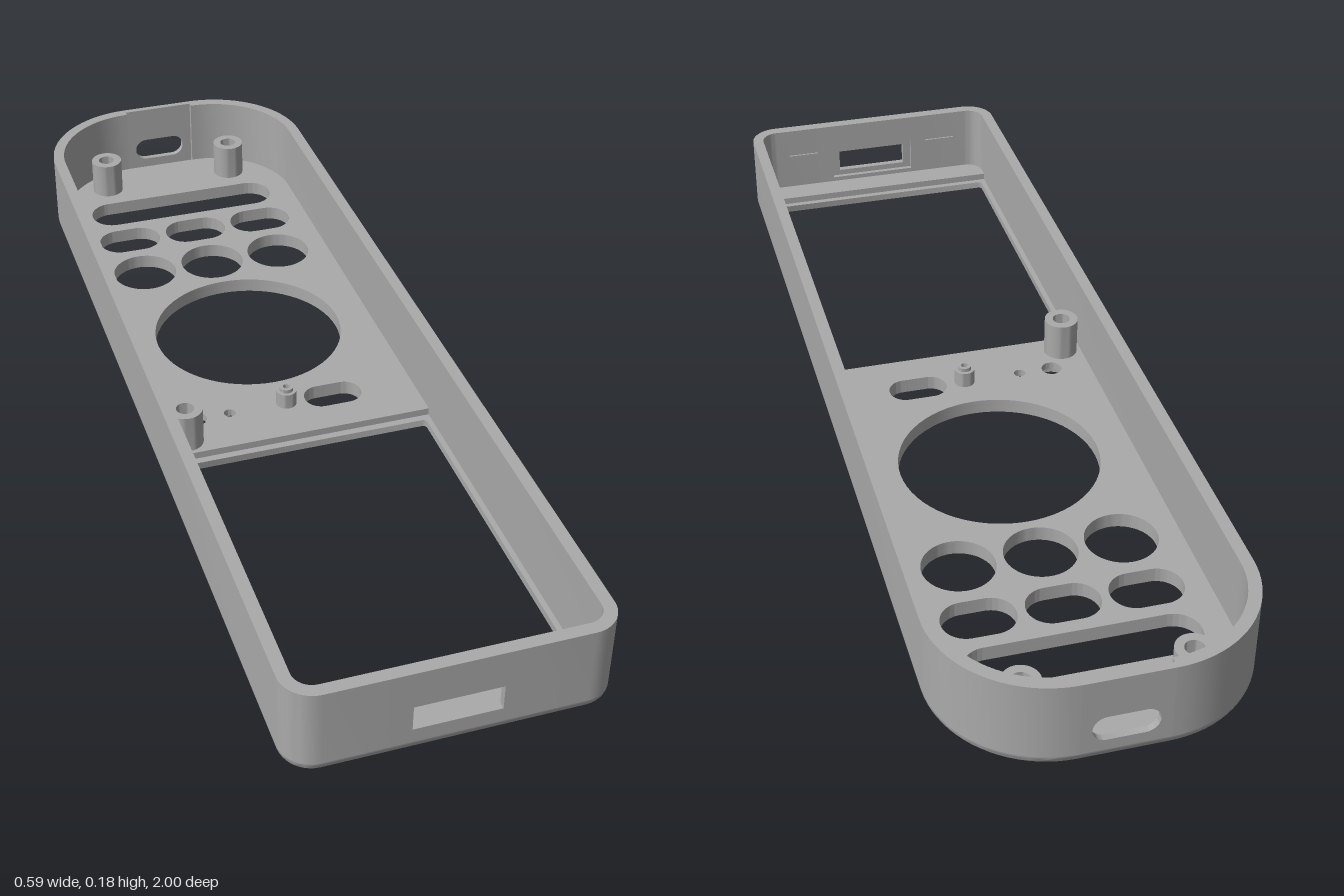
import * as THREE from 'three';
import { toCreasedNormals } from 'three/addons/utils/BufferGeometryUtils.js';

const W = 0.295, H = 0.18, WALL = 0.024, MID = 0.015, FLOOR = 0.03;
const BACK_R = 0.215, FRONT_R = 0.06, BACK_GAP = 0.08, FRONT_GAP = 0.11;

export function createModel() {
  const group = new THREE.Group();
  const grey = new THREE.MeshStandardMaterial({ color: 0xaaaaaa });
  grey.name = 'casing grey';

  const add = (name, geometry, x = 0, y = 0, z = 0) => {
    const mesh = new THREE.Mesh(toCreasedNormals(geometry, 0.6), grey);
    mesh.name = name;
    mesh.position.set(x, y, z);
    group.add(mesh);
    return mesh;
  };

  // Corner arcs of the +x half of the outline, as [x, z], moved inwards by inset
  const arc = (cx, cz, r, a0, a1, n) => Array.from({ length: n + 1 }, (_, i) => {
    const a = a0 + (a1 - a0) * i / n;
    return [cx + r * Math.cos(a), cz + r * Math.sin(a)];
  });
  const backArc = (d) => arc(W - BACK_R, -1 + BACK_R, BACK_R - d, -Math.PI / 2, 0, 20);
  const frontArc = (d) => arc(W - FRONT_R, 1 - FRONT_R, FRONT_R - d, 0, Math.PI / 2, 10);
  const mirror = (pts) => pts.map(([x, z]) => [-x, z]).reverse();
  const outline = (d) => {
    const half = [...backArc(d), ...frontArc(d)];
    return [...half, ...mirror(half)];
  };

  const shapeOf = (pts) => new THREE.Shape(pts.map(([x, z]) => new THREE.Vector2(x, z)));
  // Horizontal slab from a plan shape in x, z
  const slab = (shape, y0, y1) => new THREE.ExtrudeGeometry(shape, { depth: y1 - y0, bevelEnabled: false, curveSegments: 32 })
    .rotateX(Math.PI / 2).translate(0, y1, 0);
  // Upright panel from a shape in x, y
  const panel = (shape, z0, z1) => new THREE.ExtrudeGeometry(shape, { depth: z1 - z0, bevelEnabled: false, curveSegments: 16 })
    .translate(0, 0, z0);
  const rounded = (cx, cy, w, h, r) => {
    const p = new THREE.Path(), a = w / 2 - r, b = h / 2 - r, q = Math.PI / 2;
    p.absarc(cx + a, cy + b, r, 0, q);
    p.absarc(cx - a, cy + b, r, q, 2 * q);
    p.absarc(cx - a, cy - b, r, 2 * q, 3 * q);
    p.absarc(cx + a, cy - b, r, 3 * q, 4 * q);
    p.closePath();
    return p;
  };
  const circle = (x, z, r) => new THREE.Path().absarc(x, z, r, 0, Math.PI * 2);
  const rect = (w, y0, y1) => shapeOf([[-w, y0], [w, y0], [w, y1], [-w, y1]]);

  // Button, dial and pin openings shared by both floor layers
  const openings = () => {
    const list = [
      rounded(0, -0.775, 0.435, 0.1, 0.049),
      circle(0, -0.215, 0.2),
      rounded(0.1, 0.06, 0.12, 0.07, 0.034),
      circle(0, 0.06, 0.007),
    ];
    for (const x of [-0.157, 0, 0.157]) {
      list.push(rounded(x, -0.65, 0.14, 0.095, 0.047), circle(x, -0.505, 0.07));
    }
    return list;
  };

  // Outer floor layer with the display opening and the sensor recess
  const lower = shapeOf(outline(WALL));
  lower.holes.push(...openings(), rounded(-0.155, 0.06, 0.13, 0.06, 0.029),
    rounded(0, 0.5425, 0.52, 0.725, 0.008));
  add('outerFloor', slab(lower, 0, MID));

  // Inner floor layer, stopping short of the display pocket
  const back = [...backArc(WALL), [W - WALL, 0.165]];
  const upper = shapeOf([...back, ...mirror(back)]);
  upper.holes.push(...openings(), circle(-0.19, 0.06, 0.021), circle(-0.12, 0.06, 0.012));
  add('innerFloor', slab(upper, MID, FLOOR));
  const front = [[W - WALL, 0.918], ...frontArc(WALL)];
  add('frontLedge', slab(shapeOf([...front, ...mirror(front)]), MID, FLOOR));

  // Rounded bottom edge: closed cross-section swept around the outline
  const section = [];
  for (let i = 0; i <= 8; i++) {
    const a = i / 8 * Math.PI / 2;
    section.push([WALL * (1 - Math.sin(a)), WALL * (1 - Math.cos(a))]);
  }
  section.push([WALL, WALL], [WALL, 0]);
  const loops = section.map(([d, y]) => outline(d).map(([x, z]) => [x, y, z]));
  const n = loops[0].length, pos = [], index = [];
  loops.forEach((loop) => loop.forEach((p) => pos.push(...p)));
  for (let j = 0; j < loops.length - 1; j++) {
    for (let i = 0; i < n; i++) {
      const k = (i + 1) % n, a = j * n + i, b = j * n + k, c = a + n, d = b + n;
      index.push(a, c, b, b, c, d);
    }
  }
  const edge = new THREE.BufferGeometry();
  edge.setAttribute('position', new THREE.Float32BufferAttribute(pos, 3));
  edge.setIndex(index);
  add('roundedBottomEdge', edge);

  // Side walls, open at the two end panels
  const run = (d) => [...backArc(d), ...frontArc(d), [FRONT_GAP, 1 - d]];
  const wall = [...run(0), ...run(WALL).reverse()];
  add('leftWall', slab(shapeOf(wall), WALL, H));
  add('rightWall', slab(shapeOf(mirror(wall)), WALL, H));

  // Front panel: window with a wider recess on the inside
  const face = rect(FRONT_GAP, WALL, H);
  face.holes.push(rect(0.08, 0.053, 0.104));
  add('frontPanel', panel(face, 0.986, 1));
  const frame = rect(FRONT_GAP, WALL, H);
  frame.holes.push(rect(0.098, 0.04, 0.117));
  add('frontWindowFrame', panel(frame, 1 - WALL, 0.986));
  for (const s of [-1, 1]) {
    add('frontInnerRib', new THREE.BoxGeometry(0.07, 0.005, 0.006), s * 0.17, 0.112, 0.975);
  }

  // Thin back panel with a slot, leaving a pocket inside
  const rear = rect(BACK_GAP, WALL, H);
  rear.holes.push(rounded(0, 0.072, 0.118, 0.052, 0.0255));
  add('backPanel', panel(rear, -1, -0.987));

  // Screw posts with blind holes, and the small stepped pin
  const turned = (pts) => new THREE.LatheGeometry(pts.map(([r, y]) => new THREE.Vector2(r, y)), 32);
  for (const [x, z] of [[-0.153, -0.895], [0.15, -0.895], [-0.228, 0.122]]) {
    add('screwPost', turned([[0.035, FLOOR], [0.035, 0.11], [0.018, 0.11], [0.018, 0.04], [0, 0.04]]), x, 0, z);
  }
  add('steppedPin', turned([[0.021, FLOOR], [0.021, 0.063], [0.014, 0.063], [0.014, 0.071],
    [0.007, 0.071], [0.007, 0.04], [0, 0.04]]), 0, 0, 0.06);

  return group;
}
